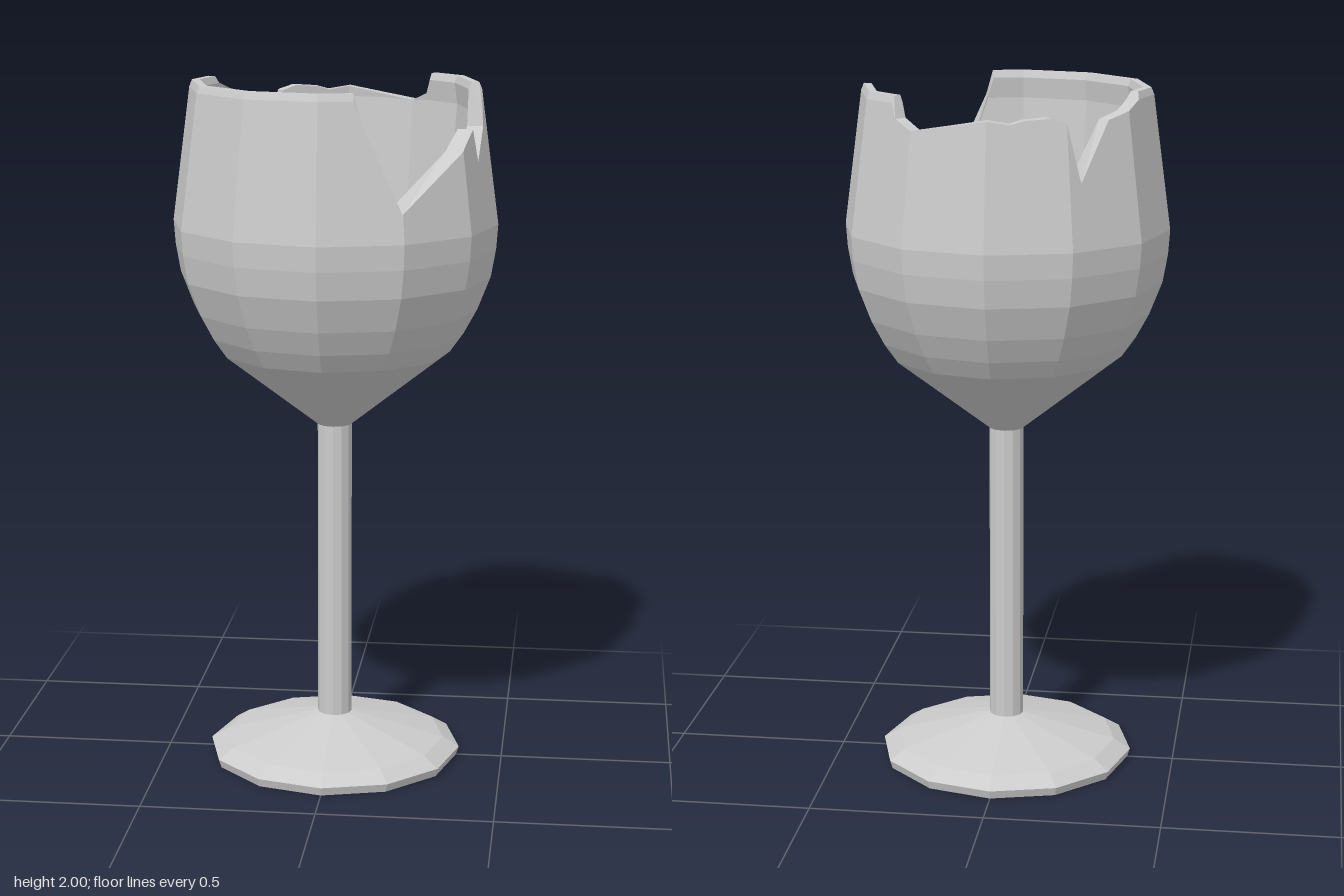
import * as THREE from 'three';

const SIDES = 12;
const STEP = Math.PI * 2 / SIDES;
const material = new THREE.MeshStandardMaterial({ color: 0xcccccc, flatShading: true });

// Broken rim: [angle in degrees from the front towards +x, height]
const RIM = [
  [0, 2], [13.5, 2], [16, 1.93], [29.8, 1.68], [62, 1.84], [73.5, 1.88], [75.5, 1.79],
  [86, 1.88], [90, 2], [137, 2], [140, 1.94], [150, 1.915], [163, 1.93], [180, 1.95],
  [189, 1.94], [194, 1.95], [204, 1.955], [210, 1.94], [215, 1.78], [230, 1.94],
  [252, 1.98], [254, 2], [360, 2],
];

// Wall profiles, [radius, height] from bottom to top
const OUTER = [
  [0, 1.01], [0.05, 1.01], [0.333, 1.23], [0.372, 1.285], [0.41, 1.355], [0.447, 1.45],
  [0.461, 1.53], [0.466, 1.6], [0.415, 1.98], [0.407, 2],
];
const INNER = [[0, 1.25], [0.09, 1.25], [0.36, 1.55], [0.385, 1.92], [0.377, 1.98], [0.385, 2]];

// Linear interpolation of column `out` against column `key`
function interpolate(table, value, key, out) {
  for (let i = 1; i < table.length; i++) {
    const a = table[i - 1], b = table[i];
    if (value <= b[key] && b[key] > a[key]) {
      const t = (value - a[key]) / (b[key] - a[key]);
      return a[out] + (b[out] - a[out]) * t;
    }
  }
  return table[table.length - 1][out];
}

// Cut a profile off at the given height
const clip = (profile, top) => profile.map(([r, y]) =>
  y <= top ? [r, y] : [interpolate(profile, top, 1, 0), top]);

// Bowl: a faceted double wall whose columns stop at the broken rim
function bowlGeometry() {
  const angles = new Set(RIM.map(p => p[0]));
  for (let i = 0; i <= SIDES; i++) angles.add(i * 360 / SIDES);

  const columns = [...angles].sort((a, b) => a - b).map(deg => {
    const phi = THREE.MathUtils.degToRad(deg);
    const top = interpolate(RIM, deg, 0, 1);
    // keep points between corners on the flat facet
    const flat = Math.cos(STEP / 2) / Math.cos((phi % STEP) - STEP / 2);
    return [...clip(OUTER, top), ...clip(INNER, top).reverse()].map(([r, y]) =>
      [r * flat * Math.sin(phi), y, r * flat * Math.cos(phi)]);
  });

  const positions = [];
  for (let i = 0; i + 1 < columns.length; i++) {
    const p = columns[i], q = columns[i + 1];
    for (let j = 0; j + 1 < p.length; j++) {
      positions.push(...p[j], ...q[j], ...q[j + 1], ...p[j], ...q[j + 1], ...p[j + 1]);
    }
  }
  const geometry = new THREE.BufferGeometry();
  geometry.setAttribute('position', new THREE.Float32BufferAttribute(positions, 3));
  geometry.computeVertexNormals();
  return geometry;
}

export function createModel() {
  const group = new THREE.Group();
  const add = (name, geometry) => {
    const mesh = new THREE.Mesh(geometry, material);
    mesh.name = name;
    group.add(mesh);
    return mesh;
  };

  add('brokenBowl', bowlGeometry());

  // Stem
  add('stem', new THREE.CylinderGeometry(0.05, 0.05, 0.9, SIDES)).position.y = 0.57;

  // Foot with a slightly hollow underside
  const footProfile = [
    [0, 0.012], [0.19, 0.01], [0.365, 0], [0.373, 0.025], [0.325, 0.055], [0.05, 0.127], [0, 0.127],
  ].map(([r, y]) => new THREE.Vector2(r, y));
  add('foot', new THREE.LatheGeometry(footProfile, SIDES));

  return group;
}
